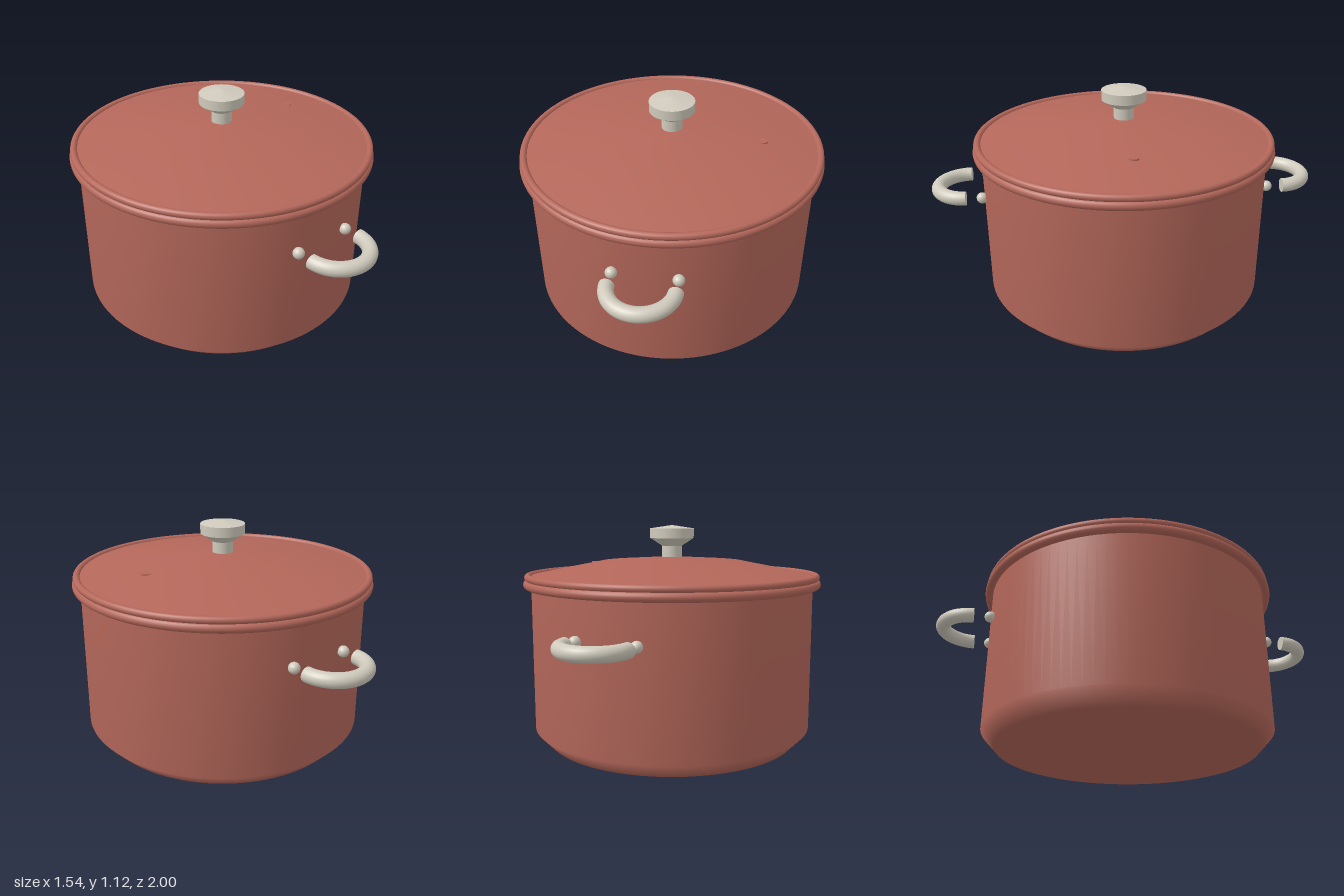
import * as THREE from 'three';

const SEG = 96;

export function createModel() {
  const group = new THREE.Group();
  const enamel = new THREE.MeshStandardMaterial({ name: 'red enamel', color: 0xb4675a });
  const steel = new THREE.MeshStandardMaterial({ name: 'warm steel', color: 0xcfcabc });

  const add = (parent, name, geometry, material, x = 0, y = 0, z = 0) => {
    const mesh = new THREE.Mesh(geometry, material);
    mesh.name = name;
    mesh.position.set(x, y, z);
    parent.add(mesh);
    return mesh;
  };
  const lathe = (points) =>
    new THREE.LatheGeometry(points.map(([r, y]) => new THREE.Vector2(r, y)), SEG);
  const ring = (radius, tube) => new THREE.TorusGeometry(radius, tube, 16, SEG).rotateX(Math.PI / 2);

  // Pot body with a bevelled foot, and its rolled rim
  add(group, 'body', lathe([[0, 0], [0.66, 0], [0.73, 0.075], [0.73, 0.82]]), enamel);
  add(group, 'bodyRim', ring(0.747, 0.023), enamel, 0, 0.825);

  // Shallow domed lid with its own rim and a small steam vent
  const lid = new THREE.Group();
  lid.name = 'lid';
  group.add(lid);
  add(lid, 'lidDome', lathe([[0.745, 0.862], [0.37, 0.937], [0, 0.961]]), enamel);
  add(lid, 'lidRim', ring(0.746, 0.018), enamel, 0, 0.86);
  add(lid, 'steamVent', new THREE.CylinderGeometry(0.025, 0.025, 0.03, 24), enamel, 0.457, 0.908);

  // Knob: stem, flare, band and low conical top
  const knob = new THREE.Group();
  knob.name = 'knob';
  group.add(knob);
  const knobPart = (name, rTop, rBottom, y0, y1) =>
    add(knob, name, new THREE.CylinderGeometry(rTop, rBottom, y1 - y0, 48, 1, true),
      steel, 0, (y0 + y1) / 2);
  knobPart('knobStem', 0.052, 0.052, 0.94, 1.015);
  knobPart('knobFlare', 0.114, 0.052, 1.015, 1.055);
  knobPart('knobBand', 0.114, 0.114, 1.055, 1.105);
  knobPart('knobTop', 0, 0.114, 1.105, 1.122);

  // Front and back handles: half rings with closed ends, and studs on the body
  for (const side of [1, -1]) {
    const handle = new THREE.Group();
    handle.name = side > 0 ? 'frontHandle' : 'backHandle';
    handle.position.y = 0.61;
    handle.rotation.y = side > 0 ? 0 : Math.PI;
    group.add(handle);
    const grip = new THREE.TorusGeometry(0.154, 0.036, 20, 48, Math.PI).rotateX(Math.PI / 2);
    add(handle, 'handleGrip', grip, steel, 0, 0, 0.81);
    for (const x of [-0.154, 0.154]) {
      add(handle, 'handleEnd', new THREE.CircleGeometry(0.036, 20).rotateY(Math.PI), steel, x, 0, 0.81);
      add(handle, 'handleStud', new THREE.SphereGeometry(0.028, 20, 14), steel, x, 0, 0.73);
    }
  }

  return group;
}
